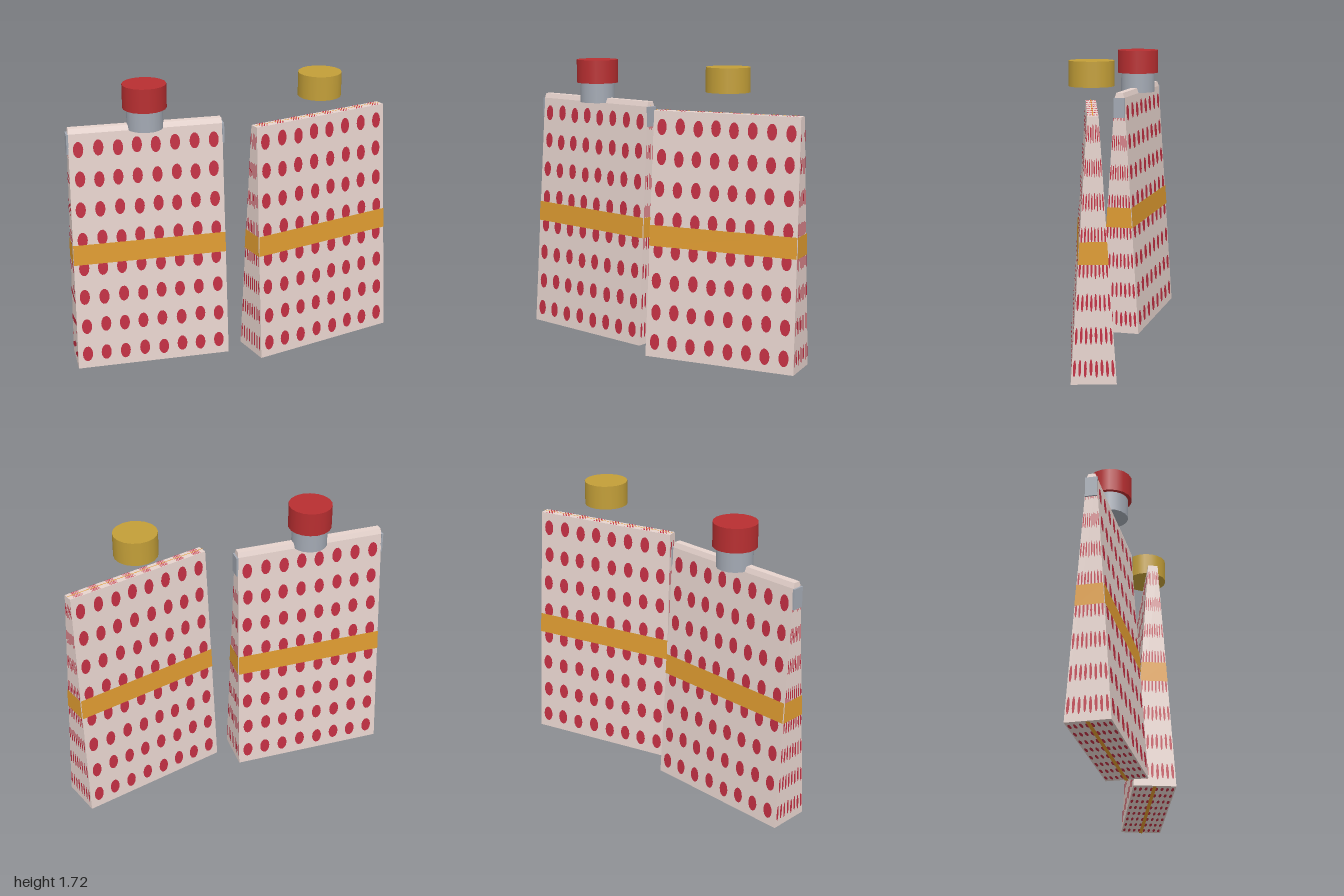
import * as THREE from 'three';

const mat = (name, color) => {
  const m = new THREE.MeshStandardMaterial({ color });
  m.name = name;
  return m;
};

export function createModel() {
  const cream = mat('palePink', 0xe6d3cd), crimson = mat('crimsonDots', 0xc22f43);
  const orange = mat('orangeBand', 0xdd9a30), red = mat('redCap', 0xb72e30);
  const gold = mat('goldCap', 0xc29e38), metal = mat('greyMetal', 0xa3a9b3);
  const H = 1.46, BASE = 0.005;

  const add = (parent, name, geometry, material) => {
    const mesh = new THREE.Mesh(geometry, material);
    mesh.name = name;
    parent.add(mesh);
    return mesh;
  };

  // Box narrowing from a bottom rectangle to a top rectangle (half sizes)
  const taperedBox = (bx, bz, tx, tz, y0, y1) => {
    const g = new THREE.BoxGeometry(2, 2, 2);
    const p = g.attributes.position;
    for (let i = 0; i < p.count; i++) {
      const top = p.getY(i) > 0;
      p.setXYZ(i, p.getX(i) * (top ? tx : bx), top ? y1 : y0, p.getZ(i) * (top ? tz : bz));
    }
    g.computeVertexNormals();
    return g;
  };

  // Flat polygons given in face coordinates (0..1), laid just off a four-cornered face
  const decal = ([a, b, c, d], polygons, offset) => {
    const n = b.clone().sub(a).cross(d.clone().sub(a)).normalize();
    const at = ([u, v]) => a.clone().lerp(b, u).lerp(d.clone().lerp(c, u), v).addScaledVector(n, offset);
    const pos = [];
    for (const poly of polygons) {
      const pts = poly.map(at);
      for (let i = 1; i < pts.length - 1; i++) {
        for (const q of [pts[0], pts[i], pts[i + 1]]) pos.push(q.x, q.y, q.z);
      }
    }
    const g = new THREE.BufferGeometry();
    g.setAttribute('position', new THREE.Float32BufferAttribute(pos, 3));
    g.computeVertexNormals();
    return g;
  };

  // Eight by eight dots with a slight hand-printed wobble
  const dots = [];
  for (let i = 0; i < 8; i++) {
    for (let j = 0; j < 8; j++) {
      const cu = (i + 0.5) / 8 + 0.003 * Math.sin(i * 5.1 + j * 2.3);
      const cv = (j + 0.5) / 8 + 0.003 * Math.sin(i * 2.7 + j * 4.4);
      dots.push(Array.from({ length: 14 }, (_, k) => {
        const t = (k / 14) * Math.PI * 2;
        return [cu + 0.033 * Math.cos(t), cv + 0.033 * Math.sin(t)];
      }));
    }
  }
  const band = [[[0, 0.455], [1, 0.455], [1, 0.54], [0, 0.54]]];

  // Tapered carton with dots and a band on every face
  const makeCarton = (name) => {
    const g = new THREE.Group();
    g.name = name;
    const bx = 0.464, bz = 0.125, tx = 0.45, tz = 0.03;
    add(g, 'cartonBody', taperedBox(bx, bz, tx, tz, BASE, H), cream);
    const P = (sx, top, sz) =>
      new THREE.Vector3(sx * (top ? tx : bx), top ? H : BASE, sz * (top ? tz : bz));
    const faces = {
      front: [P(-1, 0, 1), P(1, 0, 1), P(1, 1, 1), P(-1, 1, 1)],
      back: [P(1, 0, -1), P(-1, 0, -1), P(-1, 1, -1), P(1, 1, -1)],
      left: [P(1, 0, 1), P(1, 0, -1), P(1, 1, -1), P(1, 1, 1)],
      right: [P(-1, 0, -1), P(-1, 0, 1), P(-1, 1, 1), P(-1, 1, -1)],
      top: [P(-1, 1, 1), P(1, 1, 1), P(1, 1, -1), P(-1, 1, -1)],
      bottom: [P(-1, 0, -1), P(1, 0, -1), P(1, 0, 1), P(-1, 0, 1)],
    };
    for (const [side, corners] of Object.entries(faces)) {
      add(g, side + 'Dots', decal(corners, dots, 0.002), crimson);
      add(g, side + 'Band', decal(corners, band, 0.004), orange);
    }
    return g;
  };

  const addCap = (carton, material) => {
    add(carton, 'cap', new THREE.CylinderGeometry(0.128, 0.128, 0.142, 18), material).position.y = 1.652;
  };

  const model = new THREE.Group();
  model.name = 'twoCartons';

  // Carton with a sealed top strip, end clips, neck and red cap
  const redCarton = makeCarton('redCapCarton');
  redCarton.position.x = -0.533;
  add(redCarton, 'topStrip', taperedBox(0.45, 0.03, 0.447, 0.02, H, 1.49), cream);
  for (const s of [-1, 1]) {
    const clip = add(redCarton, 'endClip', new THREE.BoxGeometry(0.012, 0.12, 0.07), metal);
    clip.position.set(s * 0.455, 1.4, 0);
  }
  add(redCarton, 'neck', new THREE.CylinderGeometry(0.106, 0.106, 0.121, 18), metal).position.y = 1.5205;
  addCap(redCarton, red);

  // Turned carton with its gold cap lifted off
  const goldCarton = makeCarton('goldCapCarton');
  goldCarton.position.x = 0.513;
  goldCarton.rotation.y = 0.297;
  addCap(goldCarton, gold);

  model.add(redCarton, goldCarton);
  return model;
}
